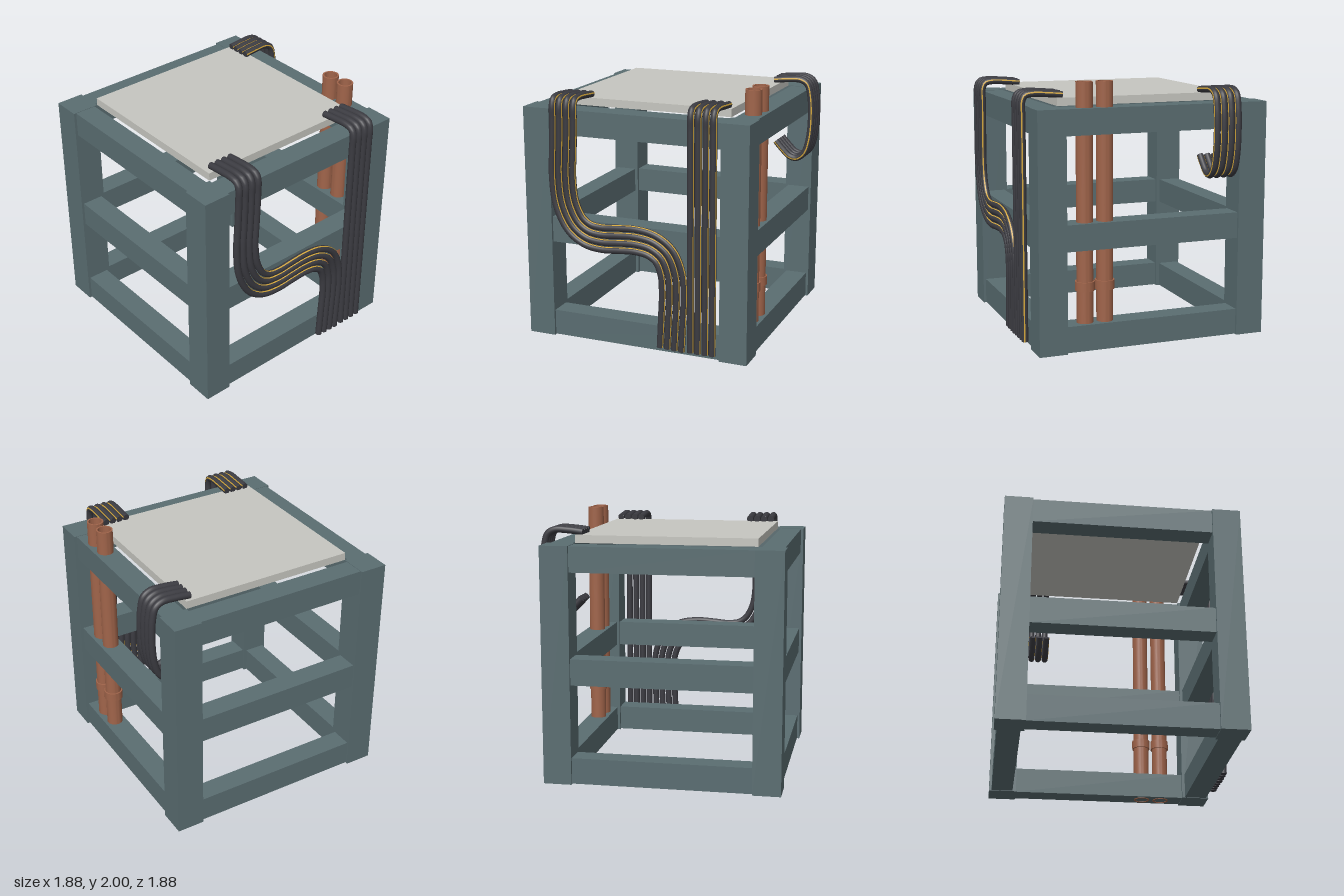
import * as THREE from 'three';
import { toCreasedNormals } from 'three/addons/utils/BufferGeometryUtils.js';

const mat = (name, color) => {
  const m = new THREE.MeshStandardMaterial({ color });
  m.name = name;
  return m;
};

export function createModel() {
  const frameMat = mat('slateFrame', 0x5a6d71);
  const panelMat = mat('paleGrey', 0xc6c6c0);
  const copperMat = mat('copper', 0xa0644a);
  const cableMat = mat('darkRubber', 0x3b3b41);
  const stripeMat = mat('yellowStripe', 0xd2a53a);

  const model = new THREE.Group();
  model.name = 'equipmentFrame';

  const add = (parent, name, geo, material) => {
    const mesh = new THREE.Mesh(geo, material);
    mesh.name = name;
    parent.add(mesh);
    return mesh;
  };
  const box = (parent, name, material, x0, x1, y0, y1, z0, z1) =>
    add(parent, name, new THREE.BoxGeometry(x1 - x0, y1 - y0, z1 - z0), material)
      .position.set((x0 + x1) / 2, (y0 + y1) / 2, (z0 + z1) / 2);
  const subgroup = (name) => {
    const g = new THREE.Group();
    g.name = name;
    model.add(g);
    return g;
  };

  // Frame: four corner posts and three levels of rails on every side
  const frame = subgroup('frame');
  for (const [x0, x1] of [[-0.94, -0.725], [0.65, 0.867]])
    for (const [z0, z1] of [[-0.94, -0.722], [0.657, 0.875]])
      box(frame, 'cornerPost', frameMat, x0, x1, 0, 1.815, z0, z1);
  for (const [y0, y1] of [[0.004, 0.204], [0.768, 0.968], [1.618, 1.812]]) {
    for (const [z0, z1] of [[-0.92, -0.75], [0.68, 0.855]])
      box(frame, 'crossRail', frameMat, -0.725, 0.65, y0, y1, z0, z1);
    for (const [x0, x1] of [[-0.92, -0.75], [0.672, 0.847]])
      box(frame, 'sideRail', frameMat, x0, x1, y0, y1, -0.722, 0.657);
  }

  // Top panel
  box(model, 'topPanel', panelMat, -0.725, 0.65, 1.815, 1.875, -0.722, 0.655);

  // Copper pipes with couplings
  const ring = (outer, inner, height) => {
    const shape = new THREE.Shape().absarc(0, 0, outer, 0, Math.PI * 2);
    shape.holes.push(new THREE.Path().absarc(0, 0, inner, 0, Math.PI * 2, true));
    const geo = new THREE.ExtrudeGeometry(shape, { depth: height, bevelEnabled: false, curveSegments: 24 });
    return toCreasedNormals(geo.rotateX(-Math.PI / 2), Math.PI / 5);
  };
  const pipes = subgroup('pipes');
  for (const z of [0.33, 0.487]) {
    add(pipes, 'pipe', ring(0.063, 0.05, 2), copperMat).position.set(0.76, 0, z);
    add(pipes, 'coupling', ring(0.074, 0.06, 0.07), copperMat).position.set(0.76, 0.45, z);
    add(pipes, 'pipeCore', new THREE.CylinderGeometry(0.05, 0.05, 1.82, 20), cableMat).position.set(0.76, 0.99, z);
  }

  // Cable bundle: parallel cables swept along one path with a transported frame
  const R = 0.026, SPACING = 0.058, STEPS = 130;
  const bundle = (name, points, startSide, stripeAngle) => {
    const group = subgroup(name);
    const curve = new THREE.CatmullRomCurve3(points.map((p) => new THREE.Vector3(...p)));
    curve.arcLengthDivisions = 600;
    const side = new THREE.Vector3(...startSide);
    const frames = [];
    for (let i = 0; i <= STEPS; i++) {
      const t = curve.getTangentAt(i / STEPS);
      side.addScaledVector(t, -side.dot(t)).normalize();
      frames.push({ p: curve.getPointAt(i / STEPS), t, s: side.clone(), n: t.clone().cross(side) });
    }
    // Strip of the round skin between two angles
    const skin = (offset, a0, a1, segs) => {
      const pos = [], nor = [], idx = [];
      frames.forEach(({ p, s, n }, i) => {
        for (let j = 0; j <= segs; j++) {
          const a = a0 + (a1 - a0) * j / segs;
          const d = s.clone().multiplyScalar(Math.cos(a)).addScaledVector(n, Math.sin(a));
          const v = p.clone().addScaledVector(s, offset).addScaledVector(d, R);
          pos.push(v.x, v.y, v.z);
          nor.push(d.x, d.y, d.z);
          if (i < STEPS && j < segs) {
            const k = i * (segs + 1) + j, m = k + segs + 1;
            idx.push(k, k + 1, m, k + 1, m + 1, m);
          }
        }
      });
      const geo = new THREE.BufferGeometry();
      geo.setAttribute('position', new THREE.Float32BufferAttribute(pos, 3));
      geo.setAttribute('normal', new THREE.Float32BufferAttribute(nor, 3));
      geo.setIndex(idx);
      return geo;
    };
    const half = 0.2;
    for (let c = 0; c < 4; c++) {
      const offset = (c - 1.5) * SPACING;
      add(group, 'cable', skin(offset, stripeAngle + half, stripeAngle - half + Math.PI * 2, 14), cableMat);
      add(group, 'cableStripe', skin(offset, stripeAngle - half, stripeAngle + half, 2), stripeMat);
      for (const [f, dir] of [[frames[0], -1], [frames[STEPS], 1]]) {
        const cap = add(group, 'cableEnd', new THREE.CircleGeometry(R, 16), cableMat);
        cap.position.copy(f.p).addScaledVector(f.s, offset);
        cap.quaternion.setFromUnitVectors(new THREE.Vector3(0, 0, 1), f.t.clone().multiplyScalar(dir));
      }
    }
  };

  // Bend over the front rail, shared by both front bundles
  const overFront = (x) => [
    [x, 1.895, 0.605], [x, 1.905, 0.72], [x, 1.91, 0.83], [x, 1.895, 0.89], [x, 1.85, 0.911], [x, 1.75, 0.911],
  ];
  bundle('windingCables', [
    ...overFront(-0.583),
    [-0.59, 1.55, 0.911], [-0.6, 1.3, 0.911], [-0.575, 1.1, 0.911], [-0.5, 0.95, 0.911],
    [-0.4, 0.88, 0.911], [-0.28, 0.861, 0.911], [-0.13, 0.872, 0.911], [0, 0.878, 0.911],
    [0.13, 0.855, 0.911], [0.23, 0.785, 0.911], [0.285, 0.66, 0.911], [0.298, 0.5, 0.911],
    [0.29, 0.3, 0.911], [0.278, 0.055, 0.911],
  ], [1, 0, 0], 0.35);
  bundle('straightCables', [
    ...overFront(0.524), [0.524, 1.2, 0.911], [0.524, 0.6, 0.911], [0.524, 0.055, 0.911],
  ], [1, 0, 0], 0.35);

  // Cables looped over the top side rail and back under it
  const zc = -0.595;
  bundle('loopedCables', [
    [0.6, 1.895, zc], [0.72, 1.908, zc], [0.82, 1.908, zc], [0.875, 1.875, zc], [0.902, 1.78, zc],
    [0.912, 1.6, zc], [0.897, 1.42, zc], [0.86, 1.31, zc], [0.8, 1.263, zc], [0.74, 1.272, zc],
    [0.68, 1.325, zc], [0.62, 1.39, zc],
  ], [0, 0, -1], Math.PI - 0.25);

  return model;
}
